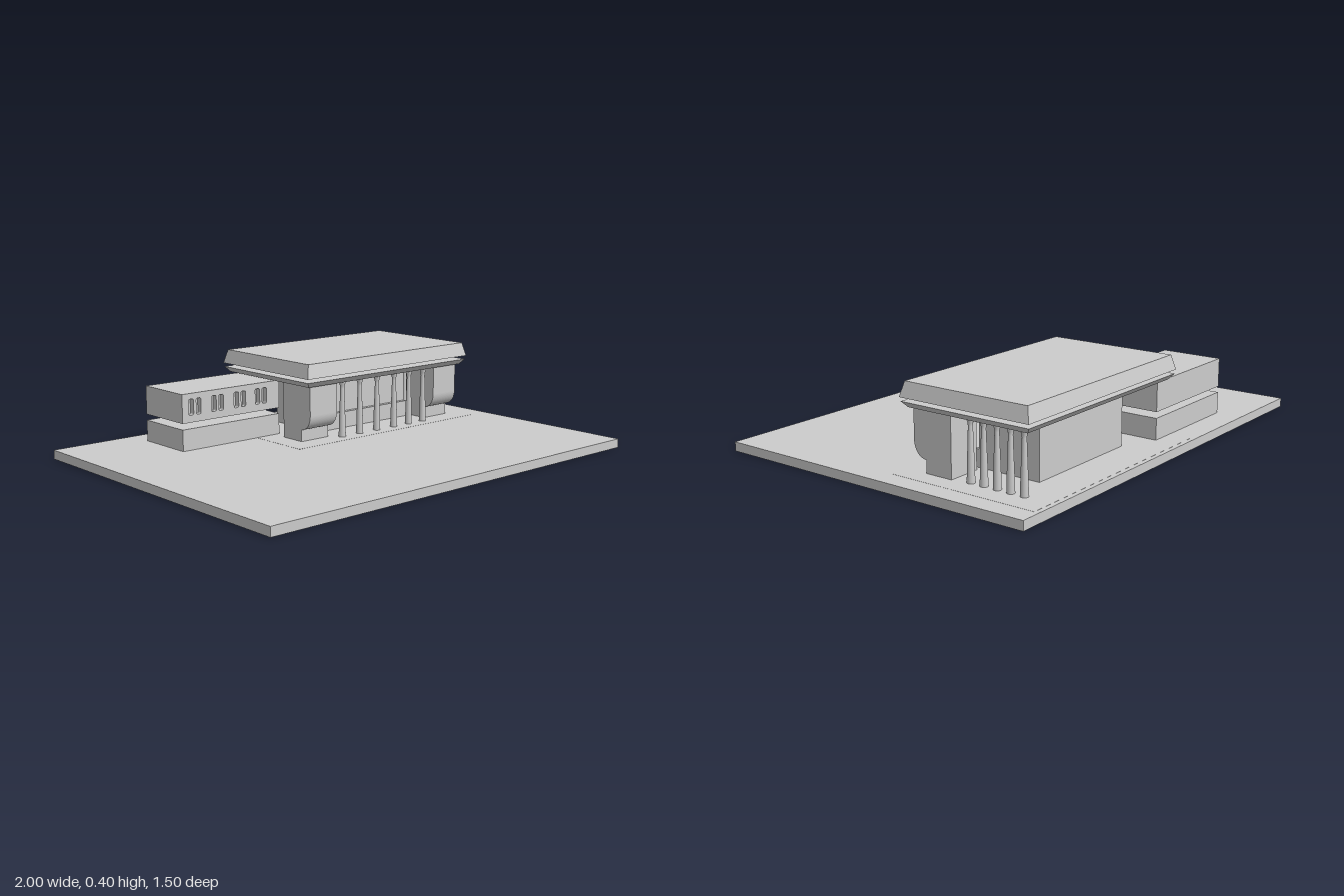
import * as THREE from 'three';

export function createModel() {
  const model = new THREE.Group();
  const material = new THREE.MeshStandardMaterial({ color: 0xcccccc });

  const add = (name, geometry) => {
    const mesh = new THREE.Mesh(geometry, material);
    mesh.name = name;
    model.add(mesh);
    return mesh;
  };

  // Box given by its limits on each axis
  const block = (name, x0, x1, y0, y1, z0, z1) => {
    const mesh = add(name, new THREE.BoxGeometry(x1 - x0, y1 - y0, z1 - z0));
    mesh.position.set((x0 + x1) / 2, (y0 + y1) / 2, (z0 + z1) / 2);
    return mesh;
  };

  // Slab with sloping sides: top and bottom are inset separately
  const slopedSlab = (name, x0, x1, y0, y1, z0, z1, topInset, bottomInset) => {
    const mesh = block(name, x0, x1, y0, y1, z0, z1);
    const p = mesh.geometry.attributes.position;
    for (let i = 0; i < p.count; i++) {
      const inset = p.getY(i) > 0 ? topInset : bottomInset;
      p.setX(i, p.getX(i) - Math.sign(p.getX(i)) * inset);
      p.setZ(i, p.getZ(i) - Math.sign(p.getZ(i)) * inset);
    }
    mesh.geometry = mesh.geometry.toNonIndexed();
    mesh.geometry.computeVertexNormals();
  };

  // Ground and paving
  block('groundSlab', -1, 1, 0, 0.04, -0.75, 0.75);
  block('paving', -0.2, 0.91, 0.03, 0.0405, -0.73, -0.05);

  // Two-tier floating roof
  slopedSlab('lowerRoof', -0.137, 0.865, 0.296, 0.32, -0.672, -0.065, 0, 0.02);
  slopedSlab('upperRoof', -0.14, 0.87, 0.337, 0.4, -0.675, -0.062, 0.016, 0);

  // Central hall with a low ledge and a transom along the front
  block('hall', 0.085, 0.65, 0.04, 0.296, -0.56, -0.27);
  block('hallLedge', 0.085, 0.65, 0.04, 0.115, -0.27, -0.25);
  block('hallTransom', 0.085, 0.65, 0.27, 0.285, -0.27, -0.262);

  // Front wings: side profile with a rounded overhang, drawn as (-z, y)
  const wingProfile = new THREE.Shape();
  wingProfile.moveTo(0.28, 0.04);
  wingProfile.lineTo(0.28, 0.296);
  wingProfile.lineTo(0.095, 0.296);
  wingProfile.lineTo(0.095, 0.165);
  wingProfile.absellipse(0.155, 0.165, 0.06, 0.07, Math.PI, Math.PI * 1.5, false);
  wingProfile.lineTo(0.155, 0.04);
  wingProfile.closePath();
  for (const [name, x0, x1] of [['rightWing', -0.1, 0.056], ['leftWing', 0.677, 0.827]]) {
    const geometry = new THREE.ExtrudeGeometry(wingProfile, {
      depth: x1 - x0, bevelEnabled: false, curveSegments: 16,
    });
    geometry.rotateY(Math.PI / 2);
    add(name, geometry).position.x = x0;
  }

  // Tapered columns with flared capitals
  const columnProfile = [
    [0.0165, 0.04], [0.0145, 0.12], [0.0115, 0.2], [0.0095, 0.262],
    [0.0105, 0.275], [0.015, 0.288], [0.015, 0.297],
  ].map(([r, y]) => new THREE.Vector2(r, y));
  const columnGeometry = new THREE.LatheGeometry(columnProfile, 20);
  for (const x of [0.105, 0.212, 0.32, 0.43, 0.528, 0.622]) {
    add('frontColumn', columnGeometry).position.set(x, 0, -0.113);
  }
  for (let i = 0; i < 5; i++) {
    add('sideColumn', columnGeometry).position.set(0.806, 0, -0.358 - i * 0.0625);
  }

  // Annex: plinth, and an upper storey floating above it
  block('annexBase', -0.6, -0.07, 0.04, 0.135, -0.63, -0.35);
  block('annexUpperStorey', -0.6, -0.07, 0.162, 0.29, -0.63, -0.375);

  // Annex front wall pierced by pairs of rounded windows
  const wall = new THREE.Shape();
  wall.moveTo(-0.6, 0.162);
  wall.lineTo(-0.07, 0.162);
  wall.lineTo(-0.07, 0.29);
  wall.lineTo(-0.6, 0.29);
  wall.closePath();
  for (const center of [-0.534, -0.414, -0.292, -0.174]) {
    for (const side of [-1, 1]) {
      const x = center + side * 0.0195;
      const w = 0.0125, r = 0.008, y0 = 0.194, y1 = 0.265;
      const hole = new THREE.Path();
      hole.moveTo(x - w, y0 + r);
      hole.lineTo(x - w, y1 - r);
      hole.quadraticCurveTo(x - w, y1, x - w + r, y1);
      hole.lineTo(x + w - r, y1);
      hole.quadraticCurveTo(x + w, y1, x + w, y1 - r);
      hole.lineTo(x + w, y0 + r);
      hole.quadraticCurveTo(x + w, y0, x + w - r, y0);
      hole.lineTo(x - w + r, y0);
      hole.quadraticCurveTo(x - w, y0, x - w, y0 + r);
      wall.holes.push(hole);
    }
  }
  add('annexWindowWall', new THREE.ExtrudeGeometry(wall, {
    depth: 0.025, bevelEnabled: false, curveSegments: 5,
  })).position.z = -0.375;

  return model;
}
